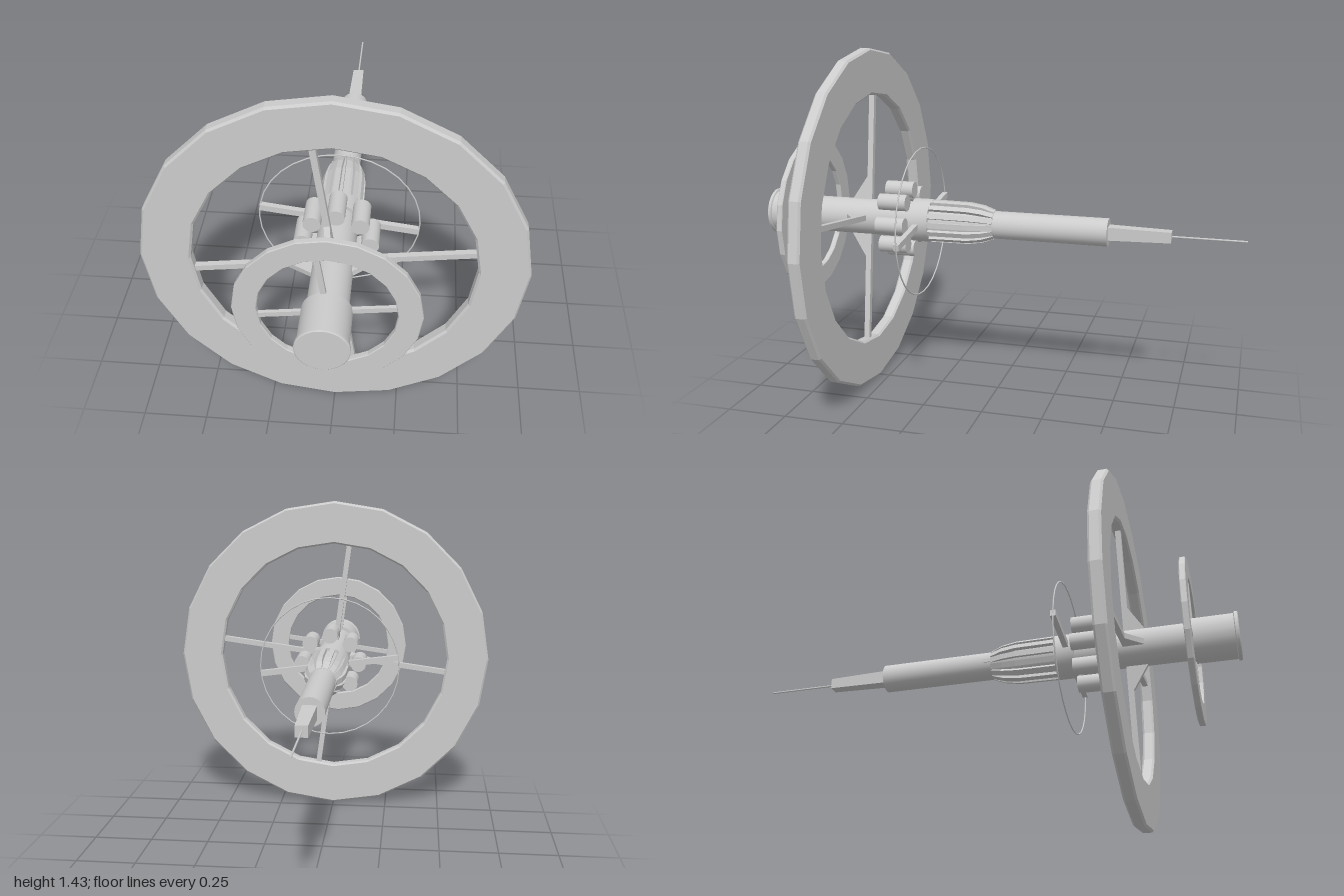
import * as THREE from 'three';
import { toCreasedNormals } from 'three/addons/utils/BufferGeometryUtils.js';

const AXIS_Y = 0.73;
const TILT = 0.135; // spoke rotation around the long axis

const smooth = new THREE.MeshStandardMaterial({ color: 0xcccccc });
const flat = new THREE.MeshStandardMaterial({ color: 0xcccccc, flatShading: true });

function add(parent, name, geometry, material = smooth) {
  const mesh = new THREE.Mesh(geometry, material);
  mesh.name = name;
  parent.add(mesh);
  return mesh;
}

// Solid of revolution about z from [radius, z] pairs, listed with z rising on the outside
function turned(profile, sides) {
  const points = profile.map(([r, z]) => new THREE.Vector2(r, z));
  return toCreasedNormals(new THREE.LatheGeometry(points, sides).rotateX(Math.PI / 2), 0.5);
}

// Flat ring with chamfered rims
function wheel(inner, outer, z0, z1, c) {
  return turned([
    [inner + c, z0], [outer - c, z0], [outer, z0 + c], [outer, z1 - c],
    [outer - c, z1], [inner + c, z1], [inner, z1 - c], [inner, z0 + c], [inner + c, z0],
  ], 20);
}

// Plate drawn in (radius, z), given a thickness, standing out along +x
function radialPlate(outline, thickness) {
  const shape = new THREE.Shape(outline.map(([r, z]) => new THREE.Vector2(r, z)));
  return new THREE.ExtrudeGeometry(shape, { depth: thickness, bevelEnabled: false })
    .translate(0, 0, -thickness / 2).rotateX(Math.PI / 2);
}

// Copies of one geometry, evenly spaced about the z axis
function around(parent, name, geometry, count, start, material = flat) {
  const group = new THREE.Group();
  group.name = name + 's';
  for (let i = 0; i < count; i++) {
    add(group, name, geometry, material).rotation.z = start + (i / count) * Math.PI * 2;
  }
  parent.add(group);
}

export function createModel() {
  const model = new THREE.Group();
  model.name = 'spaceStation';
  const body = new THREE.Group();
  body.name = 'body';
  body.position.y = AXIS_Y;
  model.add(body);

  // Central hull
  add(body, 'dockingDrum', turned([
    [0, 0.82], [0.09, 0.82], [0.09, 0.983], [0.096, 0.986], [0.096, 0.997], [0.092, 1], [0, 1],
  ], 32));
  add(body, 'mainHull', turned([[0, 0.33], [0.075, 0.33], [0.075, 0.83], [0, 0.83]], 32));
  add(body, 'collar', turned([[0, 0.28], [0.09, 0.28], [0.09, 0.36], [0, 0.36]], 32));
  add(body, 'taperedCore', turned([
    [0, 0], [0.056, 0], [0.062, 0.04], [0.074, 0.12], [0.077, 0.29], [0, 0.29],
  ], 32));
  add(body, 'rearTube', turned([[0, -0.46], [0.057, -0.46], [0.057, 0.02], [0, 0.02]], 32));

  // Raised ribs along the tapered section
  around(body, 'rib', radialPlate([
    [0.05, 0.01], [0.06, 0.01], [0.078, 0.06], [0.087, 0.12], [0.089, 0.285], [0.05, 0.285],
  ], 0.022), 14, 0);
  add(body, 'sideStrip', new THREE.BoxGeometry(0.012, 0.014, 0.1), flat).position.set(-0.054, 0, 0.03);

  // Square tail boom, narrowing to the rear, and its antenna
  const boom = new THREE.BoxGeometry(0.056, 0.054, 0.27);
  const p = boom.attributes.position;
  for (let i = 0; i < p.count; i++) {
    if (p.getZ(i) < 0) p.setXY(i, p.getX(i) * 0.83, p.getY(i) * 0.8);
  }
  add(body, 'tailBoom', boom, flat).position.z = -0.575;
  add(body, 'antenna', new THREE.CylinderGeometry(0.004, 0.004, 0.3, 8).rotateX(Math.PI / 2))
    .position.z = -0.85;

  // Ring of eight tanks
  const tank = new THREE.CylinderGeometry(0.034, 0.034, 0.12, 20)
    .rotateX(Math.PI / 2).translate(0.127, 0, 0.42);
  around(body, 'tank', tank, 8, 0, smooth);

  // Large wheel with spokes and root gussets
  add(body, 'largeWheel', wheel(0.527, 0.716, 0.54, 0.59, 0.008), flat).position.y = -0.007;
  const largeSpoke = new THREE.BoxGeometry(0.49, 0.023, 0.023).translate(0.29, 0, 0.565);
  around(body, 'largeSpoke', largeSpoke, 4, TILT);
  around(body, 'spokeGusset', radialPlate([[0.06, 0.565], [0.19, 0.565], [0.07, 0.642], [0.06, 0.642]], 0.022), 4, TILT);

  // Small front wheel and its spokes
  add(body, 'smallWheel', wheel(0.246, 0.333, 0.808, 0.832, 0.003), flat);
  const smallSpoke = new THREE.BoxGeometry(0.2, 0.02, 0.014).translate(0.155, 0, 0.82);
  around(body, 'smallSpoke', smallSpoke, 4, TILT);

  // Thin hoop held by two arms
  const hoop = add(body, 'hoop', new THREE.TorusGeometry(0.31, 0.003, 6, 32));
  hoop.position.set(0, -0.006, 0.33);
  const arm = new THREE.BoxGeometry(0.24, 0.026, 0.022).translate(0.19, 0, 0.33);
  around(body, 'hoopArm', arm, 2, -TILT);

  return model;
}
